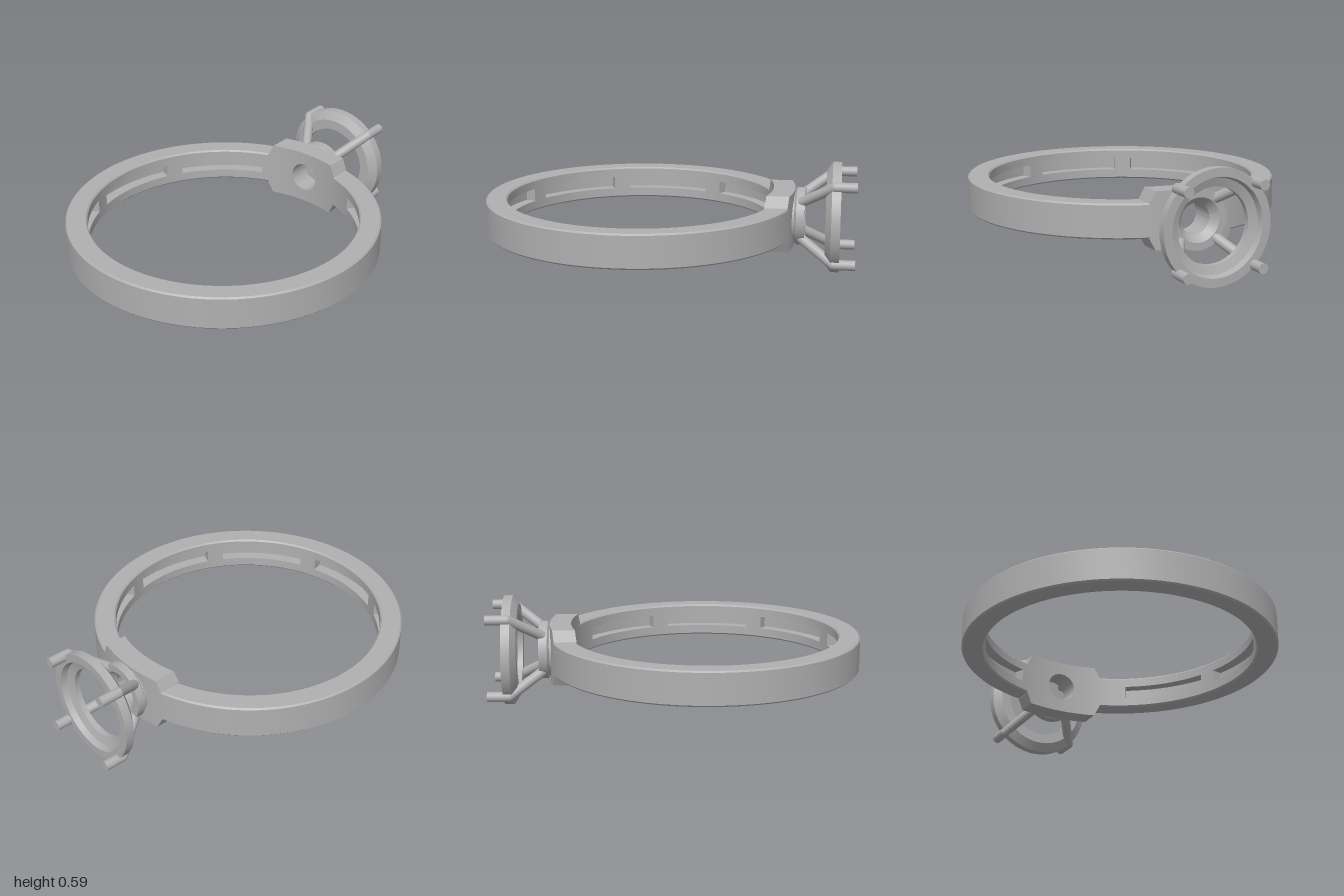
import * as THREE from 'three';
import { mergeGeometries, toCreasedNormals } from 'three/addons/utils/BufferGeometryUtils.js';

const DEG = Math.PI / 180;
const CY = 0.3;               // height of the ring's middle plane
const CZ = 0.16;              // centre of the finger hole
const R_IN = 0.72, R_OUT = 0.835;

const vecs = (pts) => pts.map(([x, y]) => new THREE.Vector2(x, y));
const closed = (pts) => vecs([...pts, pts[0]]);

// Sweep a closed [radius, height] section between two angles (degrees from the back towards +x)
function arc(section, from, to, caps) {
  const start = Math.PI - to * DEG, length = (to - from) * DEG;
  const parts = [new THREE.LatheGeometry(closed(section), Math.ceil((to - from) / 2.5), start, length)];
  if (caps) {
    const first = new THREE.ShapeGeometry(new THREE.Shape(vecs(section)));
    const last = first.clone();
    last.index.array.reverse();
    last.computeVertexNormals();
    parts.push(first.rotateY(start - Math.PI / 2), last.rotateY(start + length - Math.PI / 2));
  }
  return parts;
}

// Band with seven recesses along its inner wall
function bandGeometry() {
  const h = 0.09, b = 0.008, slot = 0.035, floor = 0.78;
  const outside = [
    [R_IN, -h + b], [R_IN + b, -h], [R_OUT - b, -h], [R_OUT, -h + b],
    [R_OUT, h - b], [R_OUT - b, h], [R_IN + b, h], [R_IN, h - b],
  ];
  const hollow = [...outside, [R_IN, slot], [floor, slot], [floor, -slot], [R_IN, -slot]];
  const parts = [];
  let angle = 15.5;
  for (let k = 1; k <= 7; k++) {
    const mid = 4.5 + 45 * k;
    parts.push(...arc(outside, angle, mid - 18.8, true));
    parts.push(...arc(hollow, mid - 18.8, mid + 18.8, false));
    angle = mid + 18.8;
  }
  parts.push(...arc(outside, angle, 344.5, true));
  return toCreasedNormals(mergeGeometries(parts), 0.5);
}

// Curved shoulder block, eight-sided from the front, with a round hole through it
function shoulderGeometry() {
  const corners = [
    [0.23, -0.09], [0.23, 0.09], [0.2, 0.15], [-0.2, 0.15],
    [-0.23, 0.09], [-0.23, -0.09], [-0.2, -0.15], [0.2, -0.15],
  ];
  const hole = 0.08, perEdge = 12, steps = 8;
  const outline = [];
  corners.forEach(([x, y], i) => {
    const [nx, ny] = corners[(i + 1) % corners.length];
    for (let s = 0; s < perEdge; s++) {
      const t = s / perEdge;
      outline.push(new THREE.Vector2(x + (nx - x) * t, y + (ny - y) * t));
    }
  });
  const position = [], index = [];
  const loop = 2 * (steps + 1), n = outline.length;
  outline.forEach((edge, i) => {
    const rim = edge.clone().setLength(hole);
    for (let j = 0; j < loop; j++) {
      const front = j <= steps;
      const p = rim.clone().lerp(edge, (front ? j : loop - 1 - j) / steps);
      const r = front ? R_IN : R_OUT;
      position.push(p.x, p.y, -Math.sqrt(r * r - p.x * p.x));
      const i2 = (i + 1) % n, j2 = (j + 1) % loop;
      const a = i * loop + j, b = i2 * loop + j, c = i2 * loop + j2, d = i * loop + j2;
      index.push(a, d, c, a, c, b);
    }
  });
  const g = new THREE.BufferGeometry();
  g.setAttribute('position', new THREE.Float32BufferAttribute(position, 3));
  g.setIndex(index);
  return toCreasedNormals(g, 0.5);
}

// Turned part around the setting's axis; section is [radius, distance behind the origin]
function turned(section) {
  const g = new THREE.LatheGeometry(closed(section), 72).rotateX(-Math.PI / 2);
  return toCreasedNormals(g, 0.4);
}

// Round rod between two points
function rod(a, b, radius) {
  const dir = b.clone().sub(a);
  const g = new THREE.CylinderGeometry(radius, radius, dir.length(), 20);
  g.applyQuaternion(new THREE.Quaternion().setFromUnitVectors(new THREE.Vector3(0, 1, 0), dir.normalize()));
  const mid = a.clone().add(b).multiplyScalar(0.5);
  return g.translate(mid.x, mid.y, mid.z);
}

export function createModel() {
  const metal = new THREE.MeshStandardMaterial({ color: 0xb0b0b0 });
  metal.name = 'grey metal';
  const model = new THREE.Group();
  model.name = 'ring';
  const add = (name, geometry, parent, z = 0) => {
    const mesh = new THREE.Mesh(geometry, metal);
    mesh.name = name;
    mesh.position.z = z;
    parent.add(mesh);
  };

  const body = new THREE.Group();
  body.name = 'body';
  body.position.y = CY;
  model.add(body);

  add('band', bandGeometry(), body, CZ);
  add('shoulderBlock', shoulderGeometry(), body, CZ);

  // Stone setting: base cup, seat rim and four bent prongs
  const setting = new THREE.Group();
  setting.name = 'setting';
  body.add(setting);
  add('baseCup', turned([
    [0.08, 0.655], [0.14, 0.655], [0.14, 0.675], [0.155, 0.685],
    [0.155, 0.73], [0.115, 0.73], [0.08, 0.69],
  ]), setting);
  add('seatRim', turned([
    [0.195, 0.84], [0.25, 0.84], [0.295, 0.87], [0.295, 0.917],
    [0.25, 0.917], [0.24, 0.885], [0.195, 0.87],
  ]), setting);

  for (const sx of [-1, 1]) for (const sy of [-1, 1]) {
    const at = (d, z) => new THREE.Vector3(sx * d, sy * d, z);
    const bend = at(0.207, -0.885);
    const radius = 0.027;
    add('prong', mergeGeometries([
      rod(at(0.097, -0.71), bend, radius),
      new THREE.SphereGeometry(radius, 20, 12).translate(bend.x, bend.y, bend.z),
      rod(bend, at(0.207, -1), radius),
    ]), setting);
  }
  return model;
}
